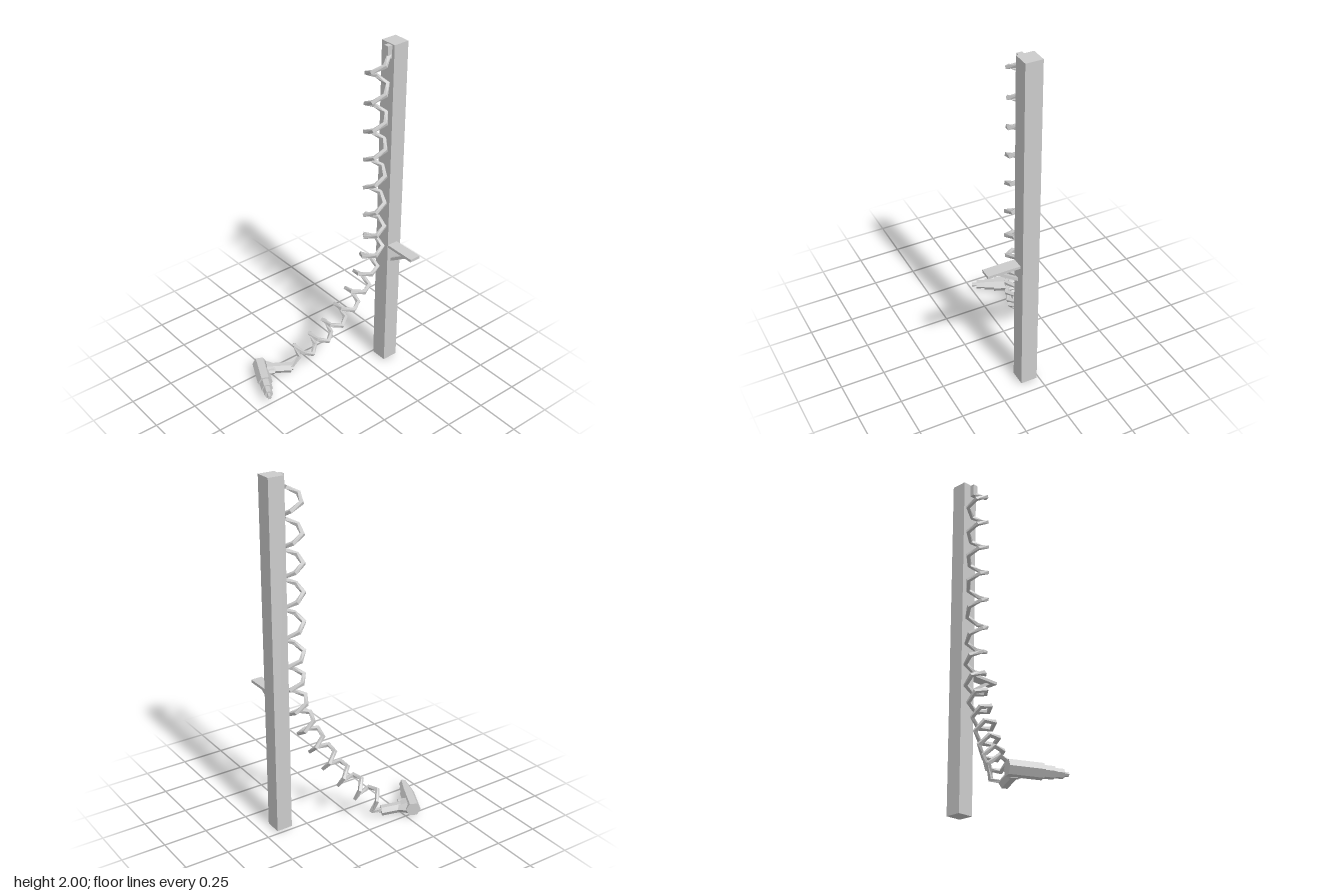
import * as THREE from 'three';

const material = new THREE.MeshStandardMaterial({ color: 0xcccccc, flatShading: true });
const V = (x, y, z) => new THREE.Vector3(x, y, z);

function add(parent, name, geometry, x = 0, y = 0, z = 0) {
  const mesh = new THREE.Mesh(geometry, material);
  mesh.name = name;
  mesh.position.set(x, y, z);
  parent.add(mesh);
  return mesh;
}

// Flat-topped hexagonal prism along x, from x0 to x1
function prismX(r, x0, x1) {
  return new THREE.CylinderGeometry(r, r, x1 - x0, 6).rotateZ(-Math.PI / 2).translate((x0 + x1) / 2, 0, 0);
}

// Flat-topped hexagonal prism reaching back along -z, from depth d0 (radius r0) to d1 (radius r1)
function prismBack(r0, r1, d0, d1, squash = 1) {
  return new THREE.CylinderGeometry(r0, r1, d1 - d0, 6).rotateY(Math.PI / 2).rotateX(Math.PI / 2)
    .scale(1, squash, 1).translate(0, 0, -(d0 + d1) / 2);
}

// Square-section wire swept along points; outward[i] orients the section
function sweepWire(points, outward, half) {
  const positions = [], index = [];
  points.forEach((p, i) => {
    const before = points[Math.max(i - 1, 0)], after = points[Math.min(i + 1, points.length - 1)];
    const m = after.clone().sub(before).normalize();
    const r = outward[i].clone().addScaledVector(m, -outward[i].dot(m)).normalize();
    const a = r.clone().cross(m);
    for (const [s, t] of [[1, 1], [-1, 1], [-1, -1], [1, -1]]) {
      const c = p.clone().addScaledVector(r, s * half * 1.2).addScaledVector(a, t * half);
      positions.push(c.x, c.y, c.z);
    }
    if (i === 0) return;
    for (let k = 0; k < 4; k++) {
      const n = (k + 1) % 4, A = 4 * i - 4, B = 4 * i;
      index.push(A + k, B + k, B + n, A + k, B + n, A + n);
    }
  });
  const e = positions.length / 3 - 4;
  index.push(0, 1, 2, 0, 2, 3, e, e + 2, e + 1, e, e + 3, e + 2);
  const geometry = new THREE.BufferGeometry();
  geometry.setAttribute('position', new THREE.Float32BufferAttribute(positions, 3));
  geometry.setIndex(index);
  geometry.computeVertexNormals();
  return geometry;
}

function coilGeometry() {
  // Centre of the coil, one point per turn, hanging straight then sweeping forward
  const axis = new THREE.CatmullRomCurve3([
    ...[1.99, 1.83, 1.66, 1.5, 1.335, 1.165, 0.995].map((y) => V(0.062, y, -0.275)),
    V(0.06, 0.86, -0.275), V(0.05, 0.727, -0.262), V(0.036, 0.61, -0.226),
    V(0.017, 0.499, -0.176), V(-0.018, 0.392, -0.118), V(-0.055, 0.287, -0.054),
    V(-0.1, 0.197, 0.02), V(-0.15, 0.118, 0.1),
  ], false, 'catmullrom');
  const points = [V(0.078, 1.945, -0.325)], outward = [V(0, 0, -1)];
  const segments = 70, firstTurn = -0.69, lastTurn = 13;
  for (let i = 0; i <= segments; i++) {
    const turn = firstTurn + (lastTurn - firstTurn) * i / segments;
    const u = (turn + 1) / 14;
    const down = axis.getTangent(u);
    const side = V(1, 0, 0).addScaledVector(down, -down.x).normalize();
    const front = down.clone().cross(side);
    const angle = Math.PI * (1 + 2 * turn);
    const r = side.multiplyScalar(Math.cos(angle)).addScaledVector(front, Math.sin(angle));
    points.push(axis.getPoint(u).addScaledVector(r, 0.057));
    outward.push(r);
  }
  // Tail running into the tool handle
  points.push(V(-0.172, 0.06, 0.07), V(-0.155, 0.035, 0.145));
  outward.push(V(-1, 0, 0), V(-1, 0, 0));
  return sweepWire(points, outward, 0.009);
}

export function createModel() {
  const model = new THREE.Group();
  model.name = 'hangingPowerTool';

  // Post with its side shelf
  add(model, 'post', new THREE.BoxGeometry(0.095, 1.99, 0.092), 0.0625, 1.005, -0.385);
  add(model, 'shelf', new THREE.BoxGeometry(0.187, 0.016, 0.065), 0.2025, 0.807, -0.3725);
  const brace = new THREE.Shape([
    new THREE.Vector2(0.265, 0.802), new THREE.Vector2(0.235, 0.802),
    new THREE.Vector2(0.108, 0.72), new THREE.Vector2(0.108, 0.7),
  ]);
  add(model, 'shelfBrace', new THREE.ExtrudeGeometry(brace, { depth: 0.02, bevelEnabled: false }), 0, 0, -0.382);

  // Coiled cable and its mount
  add(model, 'cableMount', new THREE.BoxGeometry(0.03, 0.07, 0.03), 0.078, 1.96, -0.326);
  add(model, 'coiledCable', coilGeometry());

  // Power tool lying on its side
  const tool = new THREE.Group();
  tool.name = 'powerTool';
  tool.position.set(-0.28, 0.052, 0.28);
  tool.rotation.y = -0.445;
  model.add(tool);
  add(tool, 'motorBody', prismX(0.042, 0, 0.18));
  add(tool, 'gearHousing', prismX(0.033, 0.175, 0.237));
  add(tool, 'chuck', prismX(0.025, 0.23, 0.285));
  add(tool, 'bitHolder', prismX(0.012, 0.28, 0.312));
  add(tool, 'trigger', prismBack(0.019, 0.015, 0.02, 0.07), 0.093);

  const handle = new THREE.Group();
  handle.name = 'handle';
  handle.position.x = 0.053;
  handle.rotation.x = -0.13;
  tool.add(handle);
  add(handle, 'grip', prismBack(0.03, 0.03, 0.02, 0.175));
  add(handle, 'gripFlare', prismBack(0.055, 0.03, 0.025, 0.085, 0.75));
  add(handle, 'cablePlug', prismBack(0.014, 0.014, 0.17, 0.187), 0.006);

  return model;
}
